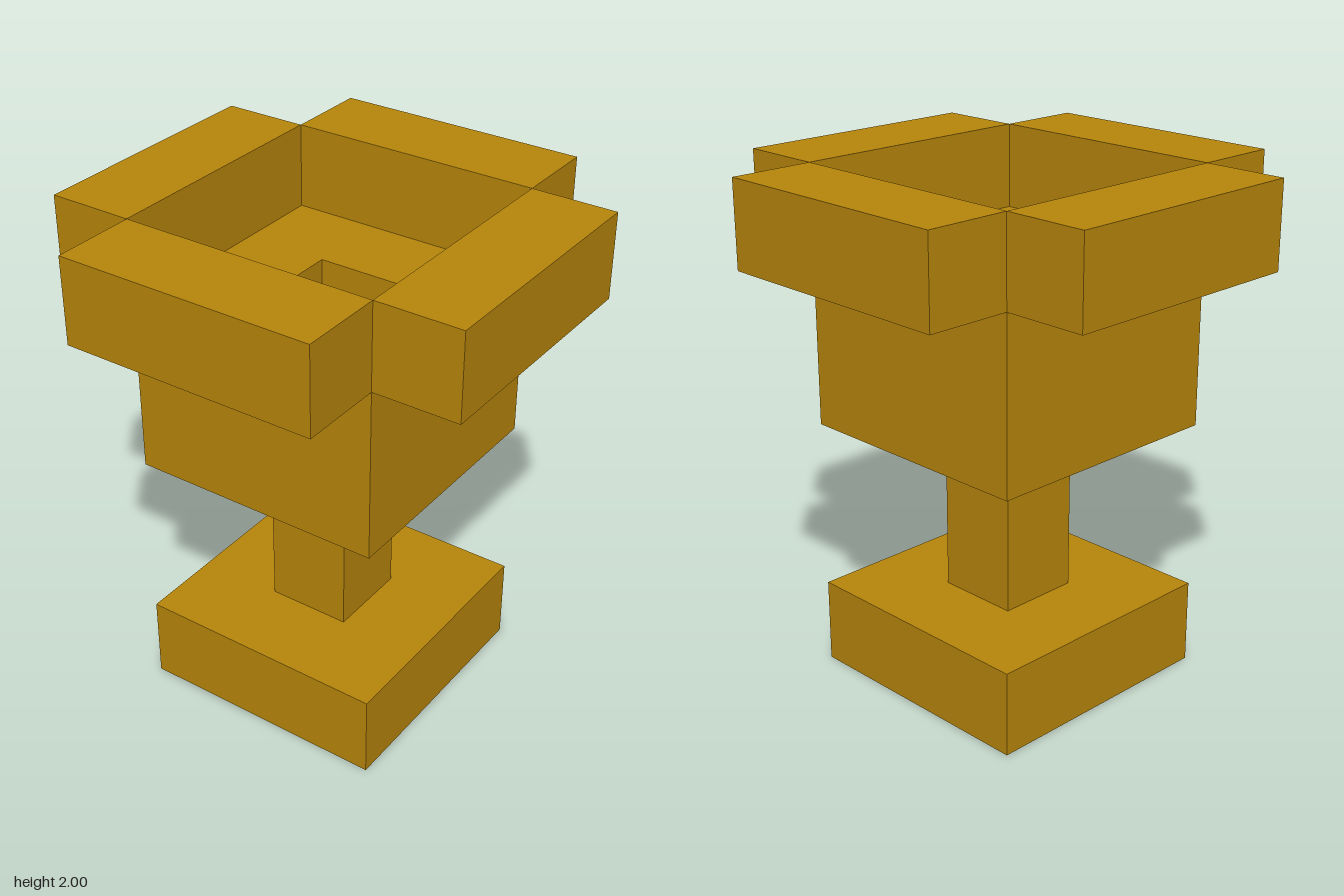
import * as THREE from 'three';

// Everything sits on a cubic grid, six cells tall
const U = 1 / 3;

export function createModel() {
  const group = new THREE.Group();
  group.name = 'goblet';
  const gold = new THREE.MeshStandardMaterial({ color: 0xb8860b });
  gold.name = 'dark gold';

  const add = (name, geometry, x, y, z) => {
    const mesh = new THREE.Mesh(geometry, gold);
    mesh.name = name;
    mesh.position.set(x, y, z);
    group.add(mesh);
    return mesh;
  };
  // Box sized in cells, standing at height y (in cells)
  const block = (name, w, h, d, x, y, z) =>
    add(name, new THREE.BoxGeometry(w * U, h * U, d * U), x * U, (y + h / 2) * U, z * U);

  // Foot, stem and closed bottom of the cup
  block('foot', 3, 1, 3, 0, 0, 0);
  block('stem', 1, 2, 1, 0, 1, 0);
  block('cupFloor', 3, 1, 3, 0, 3, 0);

  // Cup wall with a square well in the middle
  const square = (T, r) => new T([[-r, -r], [r, -r], [r, r], [-r, r]]
    .map(([x, y]) => new THREE.Vector2(x, y)));
  const outline = square(THREE.Shape, 1.5 * U);
  outline.holes.push(square(THREE.Path, 0.5 * U));
  const wall = new THREE.ExtrudeGeometry(outline, { depth: U, bevelEnabled: false });
  wall.rotateX(-Math.PI / 2);
  add('cupWall', wall, 0, 4 * U, 0);

  // Four rim bars flaring outward, open at the corners
  for (const s of [-1, 1]) {
    block(s > 0 ? 'rimLeft' : 'rimRight', 1, 1, 3, 2 * s, 5, 0);
    block(s > 0 ? 'rimFront' : 'rimBack', 3, 1, 1, 0, 5, 2 * s);
  }
  return group;
}
